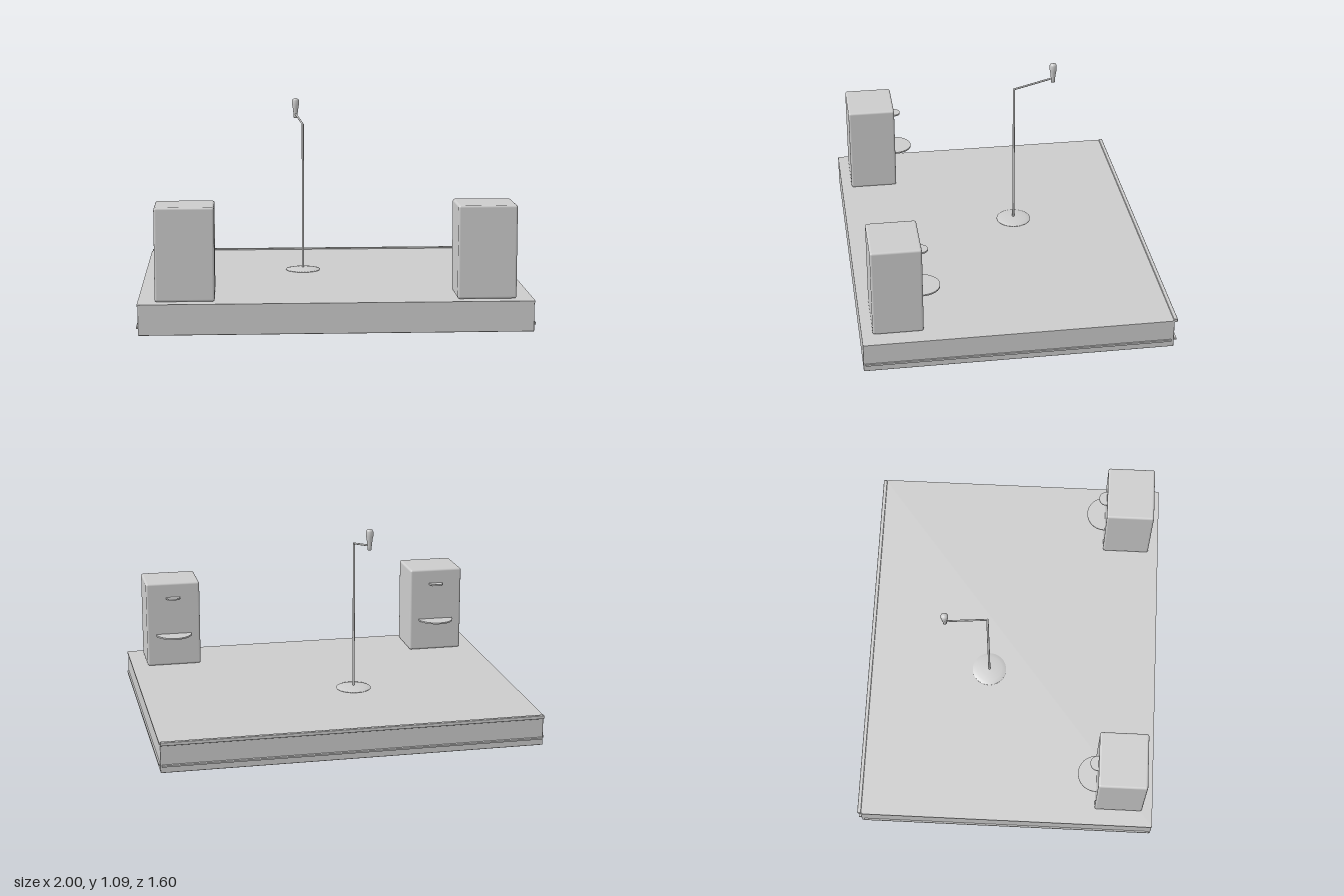
import * as THREE from 'three';
import { RoundedBoxGeometry } from 'three/addons/geometries/RoundedBoxGeometry.js';

export function createModel() {
  const root = new THREE.Group();
  root.name = 'stage';
  const grey = new THREE.MeshStandardMaterial({ color: 0xcccccc });
  grey.name = 'light grey';

  function add(name, geometry, x, y, z, parent = root) {
    const mesh = new THREE.Mesh(geometry, grey);
    mesh.name = name;
    mesh.position.set(x, y, z);
    parent.add(mesh);
    return mesh;
  }
  const lathe = (points, segments = 32) =>
    new THREE.LatheGeometry(points.map(([r, y]) => new THREE.Vector2(r, y)), segments);

  // Cylinder running between two points
  function rod(name, a, b, radius, parent) {
    const dir = b.clone().sub(a);
    const mesh = add(name, new THREE.CylinderGeometry(radius, radius, dir.length(), 16), 0, 0, 0, parent);
    mesh.position.copy(a).add(b).multiplyScalar(0.5);
    mesh.quaternion.setFromUnitVectors(new THREE.Vector3(0, 1, 0), dir.normalize());
  }

  // Platform and its deck
  add('platform', new RoundedBoxGeometry(1.984, 0.15, 1.585, 2, 0.005), 0, 0.075, 0.0075);
  add('deck', new THREE.BoxGeometry(1.984, 0.012, 1.585), 0, 0.151, 0.0075);

  // Trim along both sides and the back
  for (const side of [-1, 1]) {
    add('sideLowerTrim', new THREE.BoxGeometry(0.012, 0.01, 1.56), side * 0.994, 0.04, 0.01);
    add('sideUpperTrim', new THREE.BoxGeometry(0.008, 0.01, 1.57), side * 0.992, 0.152, 0.01);
  }
  add('backLowerTrim', new THREE.BoxGeometry(1.97, 0.008, 0.016), 0, 0.04, -0.792);
  add('backLip', new RoundedBoxGeometry(1.984, 0.019, 0.02, 2, 0.004), 0, 0.156, -0.79);

  // Speakers with half-round shelves on the back
  for (const side of [-1, 1]) {
    const speaker = new THREE.Group();
    speaker.name = side > 0 ? 'leftSpeaker' : 'rightSpeaker';
    speaker.position.set(side * 0.76, 0, 0);
    root.add(speaker);
    add('cabinet', new RoundedBoxGeometry(0.3, 0.476, 0.258, 3, 0.012), 0, 0.396, 0.615, speaker);
    for (const [name, radius, y] of [['largeDisc', 0.098, 0.337], ['smallDisc', 0.04, 0.549]]) {
      add(name, new THREE.CylinderGeometry(radius, radius, 0.008, 40), 0, y, 0.483, speaker);
    }
  }

  // Microphone stand: domed foot, pole and angled arm
  const stand = new THREE.Group();
  stand.name = 'microphoneStand';
  root.add(stand);
  const x = -0.136, z = -0.126;
  add('foot', lathe([[0, 0], [0.093, 0], [0.093, 0.005], [0.07, 0.01], [0.04, 0.014], [0, 0.016]], 40), x, 0.157, z, stand);
  const elbow = new THREE.Vector3(x, 0.96, z);
  rod('pole', new THREE.Vector3(x, 0.165, z), elbow, 0.006, stand);
  add('elbow', new THREE.SphereGeometry(0.006, 12, 8), x, 0.96, z, stand);
  rod('arm', elbow, new THREE.Vector3(-0.167, 0.997, -0.338), 0.005, stand);

  // Microphone: tapered handle below a wider head
  add('microphone', lathe([
    [0, 0], [0.01, 0], [0.011, 0.02], [0.016, 0.06], [0.019, 0.075],
    [0.019, 0.098], [0.015, 0.106], [0.008, 0.11], [0, 0.111],
  ], 24), -0.168, 0.974, -0.343, stand);

  return root;
}
